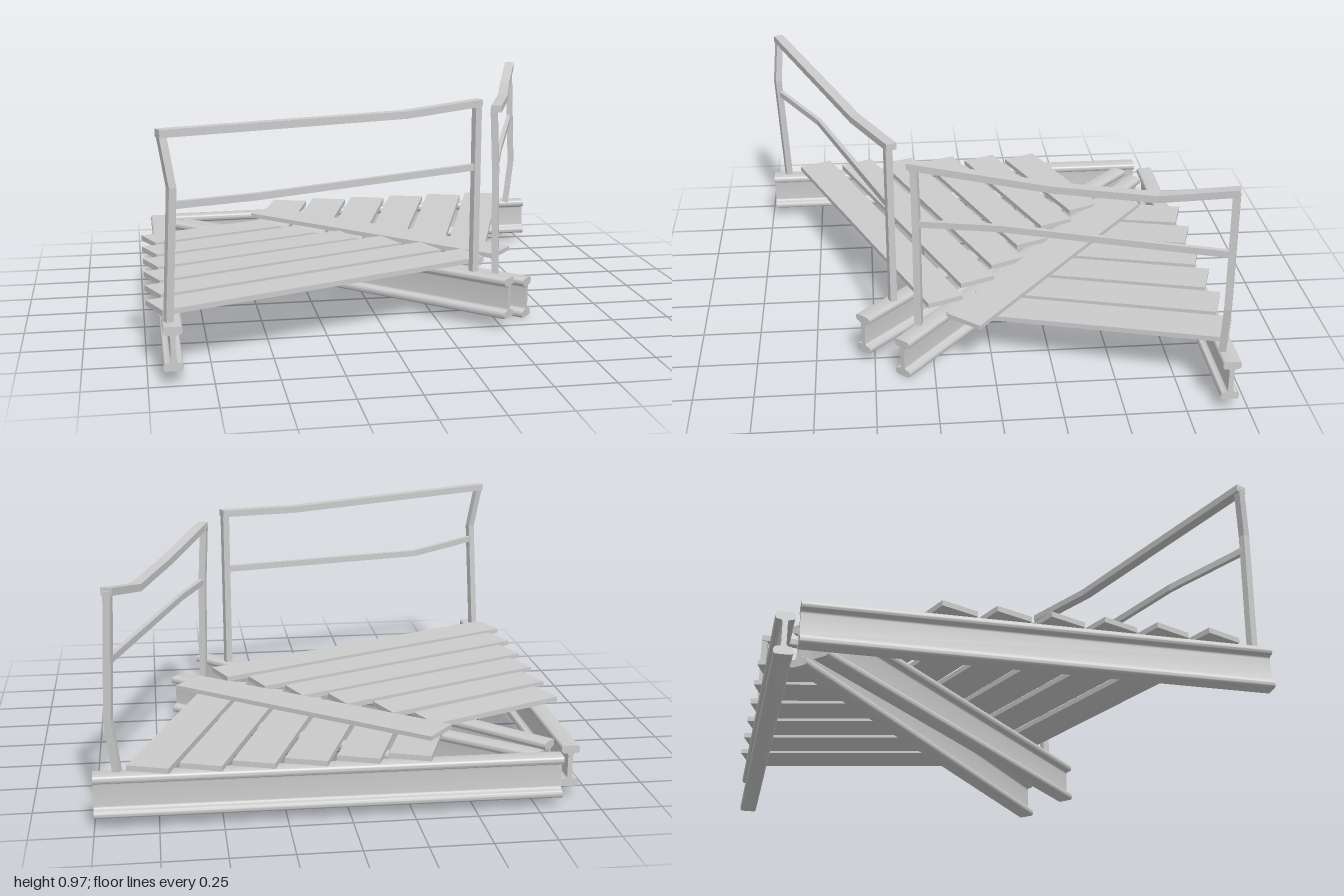
import * as THREE from 'three';
import { toCreasedNormals } from 'three/addons/utils/BufferGeometryUtils.js';

const V = (x, y, z) => new THREE.Vector3(x, y, z);
const grey = new THREE.MeshStandardMaterial({ color: 0xcccccc });
const UP = V(0, 1, 0);

// Rectangular bar (w across, h along "up") swept through a bent path.
function bar(name, path, w, h, up = UP) {
  const dir = path[path.length - 1].clone().sub(path[0]).normalize();
  const side = up.clone().cross(dir).normalize();
  const rings = path.map(p => [[-1, -1], [1, -1], [1, 1], [-1, 1]].map(([a, b]) =>
    p.clone().addScaledVector(side, a * w / 2).addScaledVector(up, b * h / 2)));
  const pts = [];
  const quad = (a, b, c, d) => pts.push(a, b, c, a, c, d);
  for (let i = 0; i < rings.length - 1; i++) {
    for (let k = 0; k < 4; k++) {
      const n = (k + 1) % 4;
      quad(rings[i][k], rings[i][n], rings[i + 1][n], rings[i + 1][k]);
    }
  }
  quad(...[...rings[0]].reverse());
  quad(...rings[rings.length - 1]);
  const geo = new THREE.BufferGeometry().setFromPoints(pts);
  geo.computeVertexNormals();
  const mesh = new THREE.Mesh(geo, grey);
  mesh.name = name;
  return mesh;
}

// I-beam with rounded flanges and small fillets at the web.
function beam(name, from, to) {
  const H = 0.0875, W = 0.038, T = 0.032, B = 0.01, R = 0.013;
  const s = new THREE.Shape();
  s.moveTo(-W + R, -H);
  s.lineTo(W - R, -H);
  s.quadraticCurveTo(W, -H, W, -H + T / 2);
  s.quadraticCurveTo(W, -H + T, W - R, -H + T);
  s.lineTo(B + R, -H + T);
  s.quadraticCurveTo(B, -H + T, B, -H + T + R);
  s.lineTo(B, H - T - R);
  s.quadraticCurveTo(B, H - T, B + R, H - T);
  s.lineTo(W - R, H - T);
  s.quadraticCurveTo(W, H - T, W, H - T / 2);
  s.quadraticCurveTo(W, H, W - R, H);
  s.lineTo(-W + R, H);
  s.quadraticCurveTo(-W, H, -W, H - T / 2);
  s.quadraticCurveTo(-W, H - T, -W + R, H - T);
  s.lineTo(-B - R, H - T);
  s.quadraticCurveTo(-B, H - T, -B, H - T - R);
  s.lineTo(-B, -H + T + R);
  s.quadraticCurveTo(-B, -H + T, -B - R, -H + T);
  s.lineTo(-W + R, -H + T);
  s.quadraticCurveTo(-W, -H + T, -W, -H + T / 2);
  s.quadraticCurveTo(-W, -H, -W + R, -H);
  const geo = new THREE.ExtrudeGeometry(s, {
    depth: from.distanceTo(to), bevelEnabled: false, curveSegments: 5,
  });
  const mesh = new THREE.Mesh(toCreasedNormals(geo, 0.7), grey);
  mesh.name = name;
  mesh.position.copy(from);
  mesh.lookAt(to);
  return mesh;
}

// Railing: bent handrail, thin middle rail and two bent posts.
function railing(name, hand, middle, posts) {
  const g = new THREE.Group();
  g.name = name;
  const along = hand[hand.length - 1].clone().sub(hand[0]).setY(0).normalize();
  g.add(bar('handrail', hand, 0.045, 0.03));
  g.add(bar('middleRail', middle, 0.02, 0.028));
  posts.forEach(p => g.add(bar('post', p, 0.03, 0.03, along)));
  return g;
}

export function createModel() {
  const model = new THREE.Group();
  model.name = 'brokenWalkway';

  // Supporting beams
  model.add(
    beam('backBeam', V(-0.85, 0.13, -0.92), V(1, 0.141, -0.92)),
    beam('rightBeam', V(-0.903, 0.143, -0.87), V(-0.903, 0.143, 0.98)),
    beam('frontDiagonalBeam', V(-0.84, 0.135, -0.785), V(0.52, 0.141, 0.546)),
    beam('sunkenDiagonalBeam', V(-0.78, 0.118, -0.857), V(0.645, 0.091, 0.386)),
  );

  // Front deck: six parallel planks growing in length
  const front = new THREE.Group();
  front.name = 'frontDeck';
  const ends = [[-0.37, -0.53], [-0.22, -0.375], [-0.04, -0.24], [0.137, -0.107], [0.292, 0.04], [0.45, 0.19]];
  ends.forEach(([x, z], i) => {
    front.add(bar('plank', [V(-0.965, 0.245, -0.28 + i * 0.2105), V(x, 0.239, z)], 0.162, 0.022));
  });
  model.add(front);

  // Back deck: planks sloping down onto the sunken beam
  const back = new THREE.Group();
  back.name = 'backDeck';
  for (let i = 0; i < 6; i++) {
    const x = -0.228 + i * 0.2035;
    const len = 0.46 + i * 0.145;
    back.add(bar('plank', [V(x, 0.25, -0.958),
      V(x - 0.322 * len, 0.222 - i * 0.004, -0.958 + 0.947 * len)], 0.17, 0.022));
  }
  model.add(back);

  // Loose plank laid across the joint
  model.add(bar('crossPlank', [V(-0.4, 0.258, -0.73), V(0.6, 0.228, 0.125)], 0.17, 0.02));

  // Railings
  model.add(railing('frontRailing',
    [V(-0.935, 0.952, 0.916), V(0.07, 0.937, 0.545), V(0.415, 0.955, 0.4)],
    [V(-0.89, 0.682, 0.92), V(-0.56, 0.66, 0.725), V(0.39, 0.685, 0.42)],
    [
      [V(-0.915, 0.23, 0.908), V(-0.89, 0.75, 0.93), V(-0.922, 0.95, 0.912)],
      [V(0.397, 0.23, 0.415), V(0.4, 0.95, 0.415)],
    ]));
  model.add(railing('leftRailing',
    [V(0.505, 0.915, 0.34), V(0.69, 0.88, -0.22), V(0.81, 0.88, -0.62), V(0.915, 0.943, -0.91)],
    [V(0.515, 0.655, 0.31), V(0.625, 0.675, -0.03), V(0.915, 0.675, -0.895)],
    [
      [V(0.522, 0.18, 0.31), V(0.515, 0.65, 0.31), V(0.502, 0.915, 0.315)],
      [V(0.905, 0.22, -0.9), V(0.93, 0.44, -0.9), V(0.91, 0.945, -0.9)],
    ]));
  return model;
}
